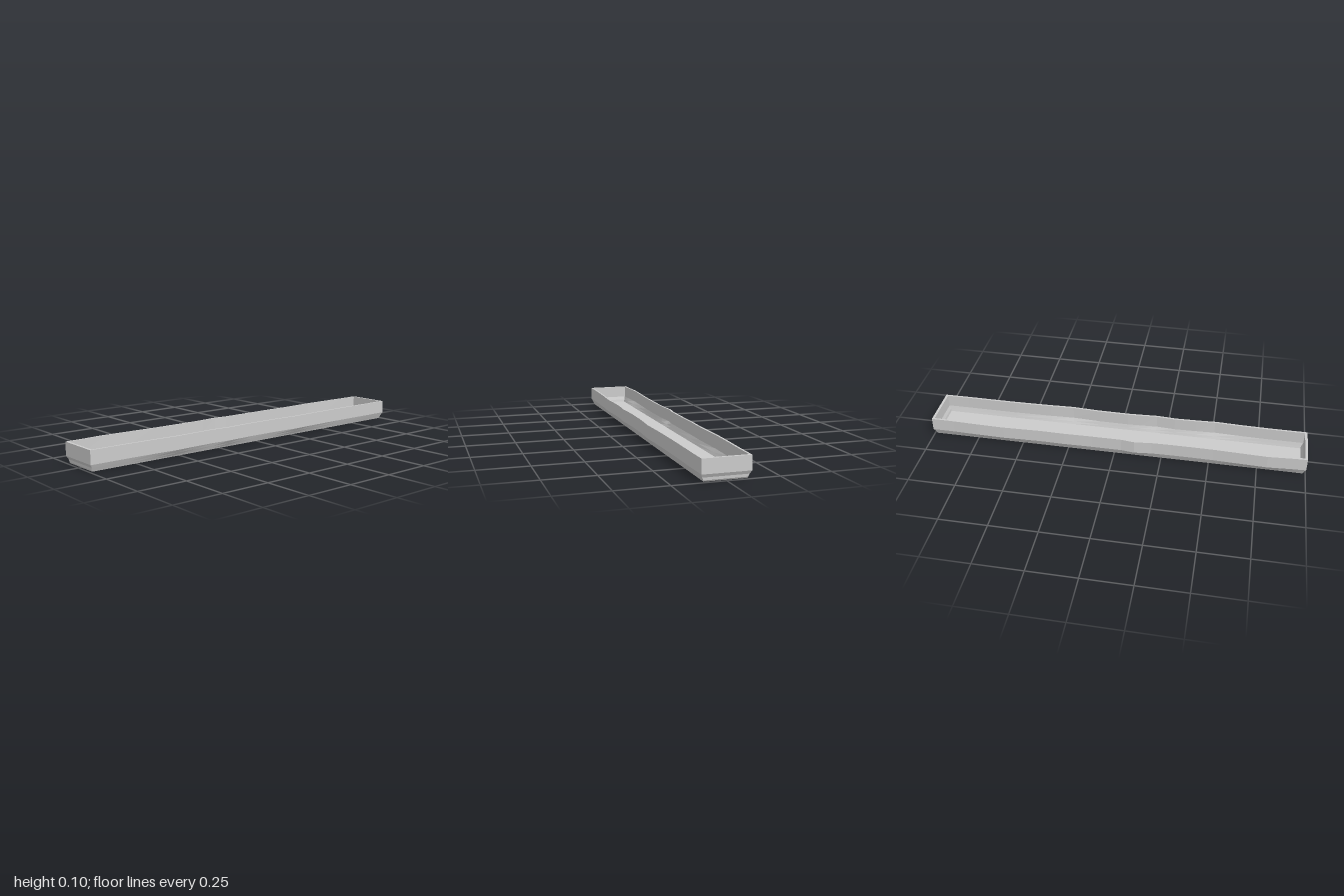
import * as THREE from 'three';

// Stations along the length: z, bulge of the left (+x) wall, bulge of the right (-x) wall
const stations = [
  [1, 0, 0], [0.93, 0, 0.003], [0.8, 0, 0.011], [0.66, 0.003, 0.006], [0.52, 0.009, 0.001],
  [0.42, 0.004, 0], [0.3, 0.001, 0], [0.2, 0.008, 0.002], [0.11, 0.003, 0.011], [0.04, 0, 0.002],
  [-0.12, 0.001, 0.002], [-0.27, 0.009, 0.004], [-0.4, 0.004, 0.002], [-0.6, 0, 0.008],
  [-0.74, 0, 0.005], [-0.88, 0.001, 0.001], [-1, 0, 0],
];

// Wall profile from the underside, up the outside, over the rim and down the inside:
// half width, height, half length, share of the bulge
const profile = [
  [0.1, 0, 0.985, 0], [0.103, 0.007, 0.99, 0.1], [0.109, 0.02, 0.991, 0.5],
  [0.116, 0.036, 1, 1], [0.116, 0.105, 1, 1],
  [0.106, 0.105, 0.987, 1], [0.105, 0.04, 0.986, 0.9],
  [0.1, 0.022, 0.978, 0.3], [0.096, 0.009, 0.975, 0],
];

// One closed loop around the trough at a level of the profile
function makeRing([halfWidth, y, halfLength, share]) {
  const left = stations.map(([z, b]) => [halfWidth + b * share, y, z * halfLength]);
  const right = stations.map(([z, , b]) => [-halfWidth - b * share, y, z * halfLength]);
  return [...left, ...right.reverse()];
}

function meshFromQuads(name, quads) {
  const points = quads.flatMap(([a, b, c, d]) => [a, b, c, a, c, d]).flat();
  const geometry = new THREE.BufferGeometry();
  geometry.setAttribute('position', new THREE.Float32BufferAttribute(points, 3));
  geometry.computeVertexNormals();
  const mesh = new THREE.Mesh(geometry, new THREE.MeshStandardMaterial({ color: 0xcccccc, flatShading: true }));
  mesh.name = name;
  return mesh;
}

// Quads joining two neighbouring loops
function band(low, high) {
  return low.map((p, i) => {
    const j = (i + 1) % low.length;
    return [p, low[j], high[j], high[i]];
  });
}

// Quads filling a loop from side to side
function cap(ring, faceDown) {
  const quads = [];
  const last = ring.length - 1;
  for (let i = 0; i < stations.length - 1; i++) {
    const quad = [ring[i], ring[i + 1], ring[last - 1 - i], ring[last - i]];
    quads.push(faceDown ? quad.reverse() : quad);
  }
  return quads;
}

export function createModel() {
  const group = new THREE.Group();
  group.name = 'trough';
  const rings = profile.map(makeRing);
  const bands = (from, to) => rings.slice(from, to).flatMap((ring, i) => band(ring, rings[from + i + 1]));

  group.add(
    meshFromQuads('underside', cap(rings[0], true)),
    meshFromQuads('outerWall', bands(0, 4)),
    meshFromQuads('rim', bands(4, 5)),
    meshFromQuads('innerWall', bands(5, 8)),
    meshFromQuads('innerFloor', cap(rings[8], false)),
  );
  return group;
}
